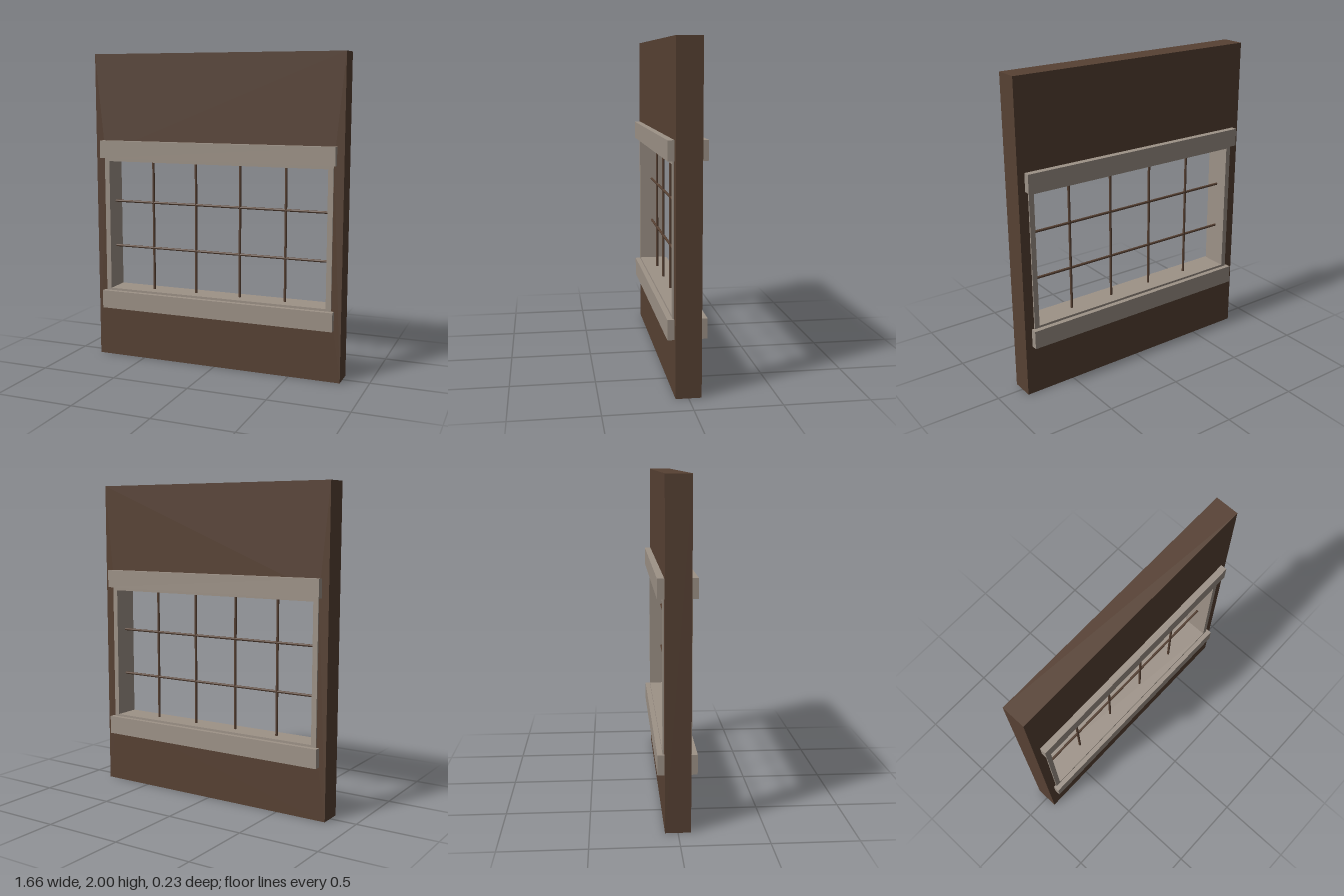
import * as THREE from 'three';

const WALL = { w: 1.66, h: 2, d: 0.148 };
const OPENING = { w: 1.47, bottom: 0.46, top: 1.31 };
const FRAME = { w: 1.536, bottom: 0.42, top: 1.36, d: 0.166 };

// Rectangular panel with a rectangular hole, centred on z = 0
function panelWithHole(w, bottom, top, hole, depth) {
  const rect = (target, rw, y0, y1) => {
    target.moveTo(-rw / 2, y0);
    target.lineTo(rw / 2, y0);
    target.lineTo(rw / 2, y1);
    target.lineTo(-rw / 2, y1);
    target.closePath();
    return target;
  };
  const shape = rect(new THREE.Shape(), w, bottom, top);
  shape.holes.push(rect(new THREE.Path(), hole.w, hole.bottom, hole.top));
  const geometry = new THREE.ExtrudeGeometry(shape, { depth, bevelEnabled: false });
  return geometry.translate(0, 0, -depth / 2);
}

export function createModel() {
  const group = new THREE.Group();
  const brown = new THREE.MeshStandardMaterial({ color: 0x574133 });
  brown.name = 'brown plaster';
  const stone = new THREE.MeshStandardMaterial({ color: 0x9d9287 });
  stone.name = 'grey stone';

  const add = (name, geometry, material, x = 0, y = 0, z = 0) => {
    const mesh = new THREE.Mesh(geometry, material);
    mesh.name = name;
    mesh.position.set(x, y, z);
    group.add(mesh);
    return mesh;
  };

  // Wall and the stone lining of its opening
  add('wall', panelWithHole(WALL.w, 0, WALL.h, FRAME, WALL.d), brown);
  add('windowFrame', panelWithHole(FRAME.w, FRAME.bottom, FRAME.top, OPENING, FRAME.d), stone);

  // Lintel and sill project from both faces of the wall
  for (const side of [1, -1]) {
    const z = side * 0.0915;
    const face = side > 0 ? 'front' : 'back';
    add(face + 'Lintel', new THREE.BoxGeometry(1.57, 0.114, 0.045), stone, 0, 1.388, z);
    add(face + 'Sill', new THREE.BoxGeometry(1.57, 0.118, 0.045), stone, 0, 0.387, z);
  }

  // Round bars across the opening
  const height = OPENING.top - OPENING.bottom;
  const midY = (OPENING.top + OPENING.bottom) / 2;
  const upright = new THREE.CylinderGeometry(0.008, 0.008, height + 0.02, 12);
  const crossbar = new THREE.CylinderGeometry(0.008, 0.008, OPENING.w + 0.02, 12).rotateZ(Math.PI / 2);
  for (let i = 0; i < 4; i++) add('verticalBar', upright, brown, -0.455 + i * 0.302, midY);
  for (let i = 0; i < 2; i++) add('horizontalBar', crossbar, brown, 0, 0.737 + i * 0.302);

  return group;
}
